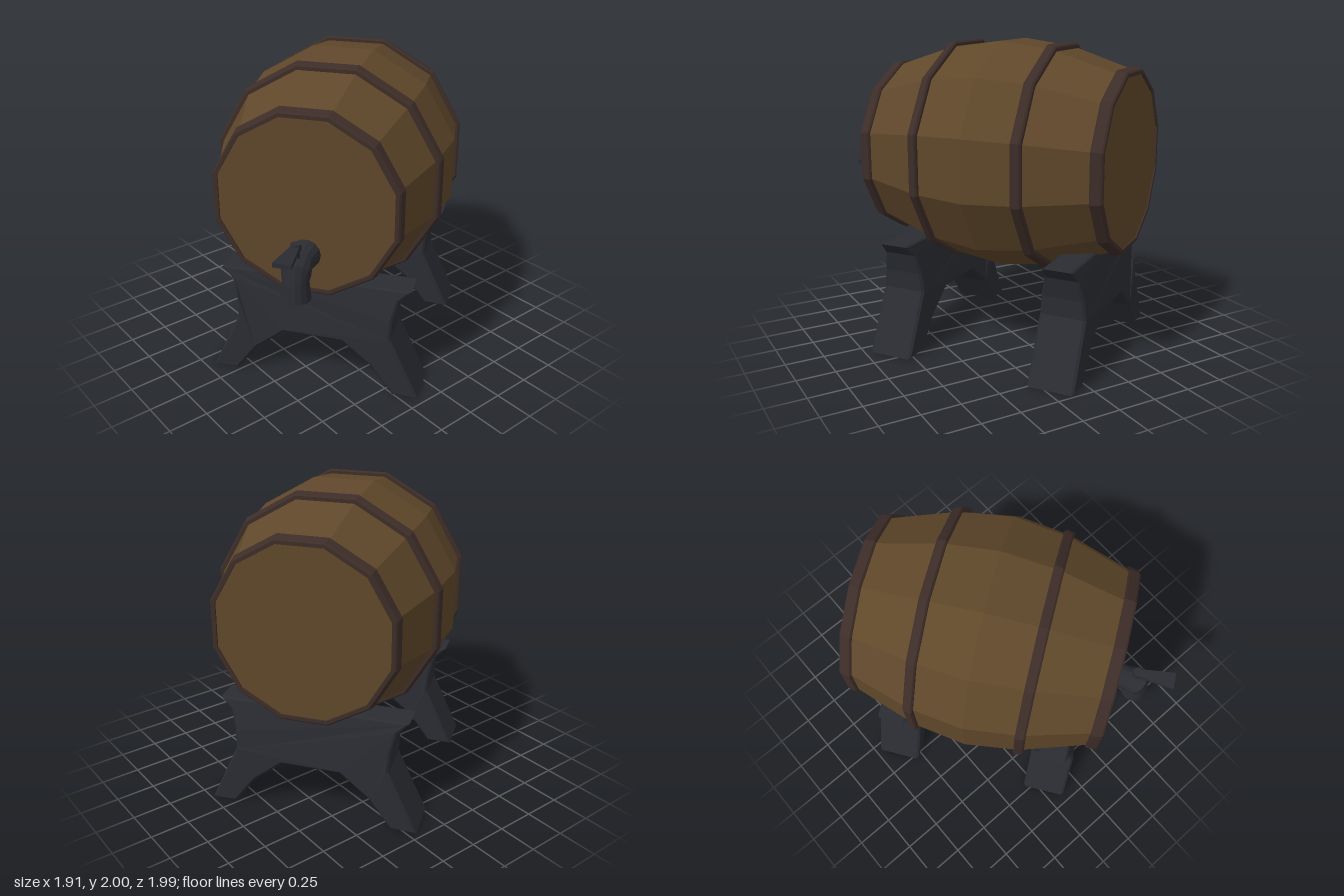
import * as THREE from 'three';

const material = (color, side = THREE.FrontSide) =>
  new THREE.MeshStandardMaterial({ color, side, flatShading: true });
const wood = material(0x5f472a);
const band = material(0x3d2d28);
const iron = material(0x2a2c32);
const hollowIron = material(0x2a2c32, THREE.DoubleSide);

const SIDES = 12;
const CENTRE_Y = 1.28;

function add(parent, name, geometry, mat) {
  const mesh = new THREE.Mesh(geometry, mat);
  mesh.name = name;
  parent.add(mesh);
  return mesh;
}

// Twelve-sided turned shape along z; profile holds [flat-to-centre distance, z]
function turned(profile) {
  const k = 1 / Math.cos(Math.PI / SIDES);
  const points = profile.map(([r, z]) => new THREE.Vector2(r * k, z));
  return new THREE.LatheGeometry(points, SIDES, Math.PI / SIDES)
    .rotateX(Math.PI / 2)
    .translate(0, CENTRE_Y, 0);
}

// Hoop with chamfered outer edges, following the slope of the staves
function hoop(z, width, rBack, rFront, inner) {
  const a = z - width / 2, b = z + width / 2, c = 0.01;
  return turned([
    [inner, a], [rBack - c, a], [rBack, a + c],
    [rFront, b - c], [rFront - c, b], [inner, b], [inner, a],
  ]);
}

// Trestle: splayed feet, narrow waist, flared top, arched opening, thinner towards the top
function standGeometry() {
  const half = [
    [0.19, 0.34], [0.3, 0.25], [0.375, 0.19], [0.515, 0], [0.68, 0],
    [0.495, 0.4], [0.5, 0.52], [0.53, 0.65], [0.605, 0.725],
  ];
  const left = half.map(([x, y]) => [-x, y]).reverse();
  const shape = new THREE.Shape([...half, ...left].map(([x, y]) => new THREE.Vector2(x, y)));
  const bevel = 0.015, depth = 0.3;
  const geometry = new THREE.ExtrudeGeometry(shape, {
    depth: depth - 2 * bevel, bevelEnabled: true, bevelSegments: 1,
    bevelThickness: bevel, bevelSize: bevel, bevelOffset: -bevel,
  }).translate(0, 0, bevel - depth / 2);

  const p = geometry.attributes.position;
  for (let i = 0; i < p.count; i++) {
    const t = Math.max(0, (p.getY(i) - 0.4) / 0.325);
    p.setZ(i, p.getZ(i) * (1 - 0.38 * t ** 1.5));
  }
  return geometry;
}

// Bent pipe lofted through circular rings [y, z, radius, bend angle in degrees]
function pipeGeometry(rings, n = 14) {
  const positions = [], index = [];
  for (const [y, z, r, bend] of rings) {
    const t = THREE.MathUtils.degToRad(bend);
    for (let i = 0; i < n; i++) {
      const a = (i / n) * Math.PI * 2, s = r * Math.sin(a);
      positions.push(r * Math.cos(a), y + s * Math.cos(t), z + s * Math.sin(t));
    }
  }
  for (let j = 0; j < rings.length - 1; j++) {
    for (let i = 0; i < n; i++) {
      const a = j * n + i, b = j * n + ((i + 1) % n);
      index.push(a, b, b + n, a, b + n, a + n);
    }
  }
  const geometry = new THREE.BufferGeometry();
  geometry.setAttribute('position', new THREE.Float32BufferAttribute(positions, 3));
  geometry.setIndex(index);
  geometry.computeVertexNormals();
  return geometry;
}

function createTap() {
  const tap = new THREE.Group();
  tap.name = 'tap';

  // Pipe out of the head, tight elbow, flared spout with a hollow mouth
  const py = 0.9, pz = 0.91;
  const rings = [[0.98, 0.77, 0.092, 0], [0.98, 0.82, 0.092, 0]];
  for (const [bend, r] of [[0, 0.078], [45, 0.092], [90, 0.078]]) {
    const t = THREE.MathUtils.degToRad(bend);
    rings.push([py + r * Math.cos(t), pz + r * Math.sin(t), r, bend]);
  }
  rings.push(
    [0.79, 0.988, 0.089, 90], [0.79, 0.988, 0.068, 90],
    [0.84, 0.988, 0.064, 90], [0.84, 0.988, 0.001, 90],
  );
  add(tap, 'spout', pipeGeometry(rings), hollowIron);

  // Valve stem and hub
  add(tap, 'valveStem', new THREE.CylinderGeometry(0.021, 0.021, 0.1, 8), iron)
    .position.set(0, 1.06, 0.965);
  add(tap, 'handleHub', new THREE.CylinderGeometry(0.032, 0.032, 0.04, 8), iron)
    .position.set(0, 1.108, 0.965);

  // Handle blade widening and rising towards its tip
  const blade = new THREE.BoxGeometry(1, 0.028, 0.235);
  const p = blade.attributes.position;
  for (let i = 0; i < p.count; i++) {
    const tip = p.getZ(i) > 0;
    p.setX(i, p.getX(i) * (tip ? 0.11 : 0.05));
    p.setY(i, p.getY(i) + (tip ? 0.005 : -0.003));
  }
  add(tap, 'handle', blade, iron).position.set(0, 1.108, 1.086);
  return tap;
}

export function createModel() {
  const model = new THREE.Group();
  const keg = new THREE.Group();
  keg.name = 'kegOnStand';
  keg.rotation.y = THREE.MathUtils.degToRad(35.1);
  keg.position.set(-0.003, 0, -0.02);
  model.add(keg);

  // Bulging body with flat heads
  add(keg, 'barrelBody', turned([
    [0, -0.8], [0.53, -0.8], [0.675, -0.34], [0.72, 0],
    [0.675, 0.34], [0.53, 0.8], [0, 0.8],
  ]), wood);

  // Hoops and trestles, mirrored front to back
  const stand = standGeometry();
  for (const [end, s] of [['front', 1], ['back', -1]]) {
    const slope = (wide, narrow) => (s > 0 ? [wide, narrow] : [narrow, wide]);
    add(keg, end + 'MiddleHoop', hoop(s * 0.34, 0.062, ...slope(0.707, 0.697), 0.64), band);
    add(keg, end + 'EndHoop', hoop(s * 0.773, 0.076, ...slope(0.568, 0.557), 0.525), band);
    add(keg, end + 'Stand', stand, iron).position.z = s * 0.56;
  }

  keg.add(createTap());
  return model;
}
